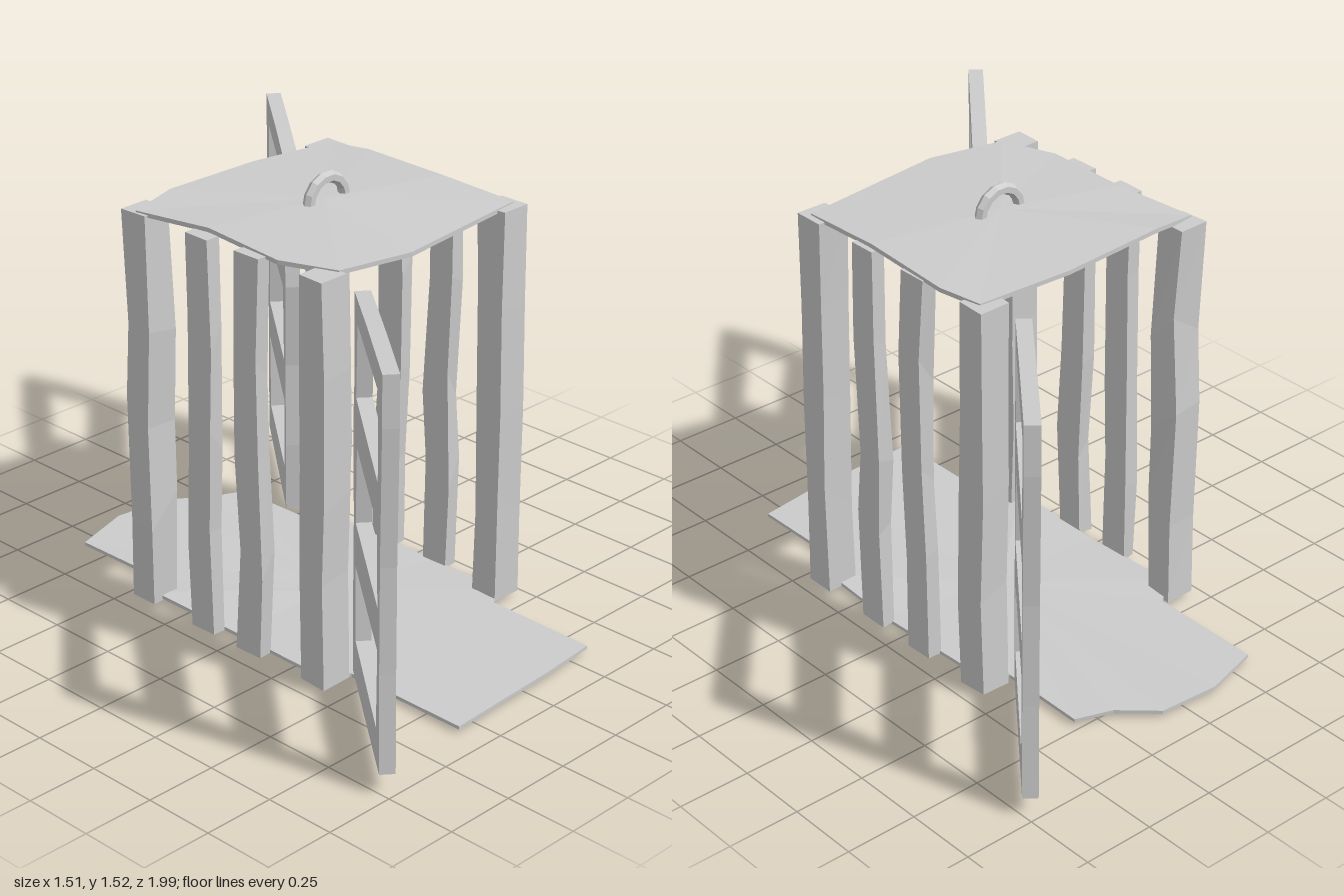
import * as THREE from 'three';

const material = new THREE.MeshStandardMaterial({ color: 0xcccccc, flatShading: true });

function mesh(name, geometry) {
  const m = new THREE.Mesh(geometry, material);
  m.name = name;
  return m;
}

// Repeatable wobble in -1..1
const wobble = (a, b) => {
  const s = Math.sin(a * 127.1 + b * 311.7) * 43758.5453;
  return (s - Math.floor(s)) * 2 - 1;
};

// Thin rough board: a fan above and below a [x, z, edgeY] outline, joined by a rim
function board(outline, thickness, topY, bottomY) {
  const n = outline.length;
  const pos = [0, topY, 0, 0, bottomY, 0];
  for (const [x, z, y] of outline) pos.push(x, y, z, x, y - thickness, z);
  const index = [];
  for (let i = 0; i < n; i++) {
    const a = 2 + i * 2, b = 2 + ((i + 1) % n) * 2;
    index.push(0, a, b, 1, b + 1, a + 1, a, a + 1, b + 1, a, b + 1, b);
  }
  const g = new THREE.BufferGeometry();
  g.setAttribute('position', new THREE.Float32BufferAttribute(pos, 3));
  g.setIndex(index);
  const flat = g.toNonIndexed();
  flat.computeVertexNormals();
  return flat;
}

// Rough-hewn upright, its inner rings nudged to look hand cut
function upright(w, d, x, z, seed) {
  const h = 1.38, g = new THREE.BoxGeometry(w, h, d, 1, 4, 1);
  const p = g.attributes.position;
  for (let i = 0; i < p.count; i++) {
    const ring = Math.round((p.getY(i) / h + 0.5) * 4);
    const corner = (p.getX(i) > 0 ? 1 : 0) + (p.getZ(i) > 0 ? 2 : 0);
    const inner = ring > 0 && ring < 4;
    const k = seed + ring;
    p.setX(i, p.getX(i) * (1 + 0.1 * wobble(k, corner)));
    p.setZ(i, p.getZ(i) * (0.93 + 0.07 * wobble(k, corner + 5)) + 0.012 * wobble(k, 9));
    if (inner) p.setY(i, p.getY(i) + 0.07 * wobble(k, corner + 11));
  }
  g.translate(x, 0.02 + h / 2, z);
  g.computeVertexNormals();
  return g;
}

// Ladder-like door, hinged along its local x = 0 edge
function doorGeometry() {
  const t = 0.05;
  const shape = new THREE.Shape([
    [0, 0.05], [0.3, 0.058], [0.65, 0.07], [0.635, 0.4], [0.63, 0.75],
    [0.65, 1.2], [0.645, 1.365], [0.3, 1.36], [-0.01, 1.345],
    [0.005, 1.1], [-0.025, 0.9], [0.0, 0.6], [-0.01, 0.3],
  ].map(([x, y]) => new THREE.Vector2(x, y)));
  // Openings: [bottom inner, bottom outer, top outer, top inner]
  const openings = [
    [[0.06, 0.19], [0.57, 0.185], [0.585, 0.455], [0.045, 0.45]],
    [[0.05, 0.6], [0.58, 0.595], [0.555, 0.85], [0.07, 0.865]],
    [[0.045, 1.02], [0.565, 0.99], [0.56, 1.275], [0.07, 1.27]],
  ];
  for (const o of openings) {
    shape.holes.push(new THREE.Path(o.map(([x, y]) => new THREE.Vector2(x, y)).reverse()));
  }
  const g = new THREE.ExtrudeGeometry(shape, { depth: t, bevelEnabled: false });
  return g.translate(0, 0, -t / 2);
}

export function createModel() {
  const model = new THREE.Group();
  model.name = 'cage';

  // Long floor board, wider beneath the bars
  model.add(mesh('floor', board([
    [-0.33, 0.9, 0.025], [0.1, 0.885, 0.03], [0.33, 0.86, 0.025], [0.33, 0.46, 0.03],
    [0.41, 0.4, 0.035], [0.42, 0.1, 0.025], [0.41, -0.36, 0.035], [0.33, -0.42, 0.03],
    [0.33, -0.73, 0.025], [0.21, -0.78, 0.03], [0.09, -0.88, 0.025], [-0.12, -0.9, 0.03],
    [-0.33, -0.84, 0.025], [-0.33, -0.44, 0.03], [-0.42, -0.38, 0.04], [-0.41, 0, 0.03],
    [-0.42, 0.38, 0.035], [-0.33, 0.44, 0.025],
  ], 0.012, 0.03, 0)));

  // Slightly domed roof board
  model.add(mesh('roof', board([
    [-0.36, 0.41, 1.405], [-0.1, 0.465, 1.405], [0.44, 0.4, 1.405], [0.44, 0.1, 1.415],
    [0.46, -0.25, 1.41], [0.43, -0.4, 1.405], [0.1, -0.43, 1.415], [-0.28, -0.415, 1.425],
    [-0.45, -0.39, 1.405], [-0.41, -0.1, 1.415], [-0.43, 0.22, 1.405],
  ], 0.015, 1.43, 1.405)));

  // Carrying ring on the roof
  const handle = mesh('handle', new THREE.TorusGeometry(0.08, 0.02, 6, 7, Math.PI));
  handle.position.set(0.005, 1.418, 0);
  model.add(handle);

  // Corner posts and side slats
  for (const side of [-1, 1]) {
    for (const [i, z] of [-0.39, -0.11, 0.115, 0.395].entries()) {
      const corner = i === 0 || i === 3;
      const w = corner ? 0.11 : 0.05, x = side * (0.46 - w / 2);
      const g = upright(w, 0.11, x, z, side * 20 + i * 7 + 30);
      model.add(mesh(corner ? 'cornerPost' : 'sideSlat', g));
    }
  }

  // Two opened doors on opposite corners
  const geometry = doorGeometry();
  for (const [name, side] of [['backDoor', 1], ['frontDoor', -1]]) {
    const door = mesh(name, geometry);
    door.position.set(side * 0.325, 0, side * -0.477);
    door.rotation.y = 0.885 + (side < 0 ? Math.PI : 0);
    model.add(door);
  }
  return model;
}
